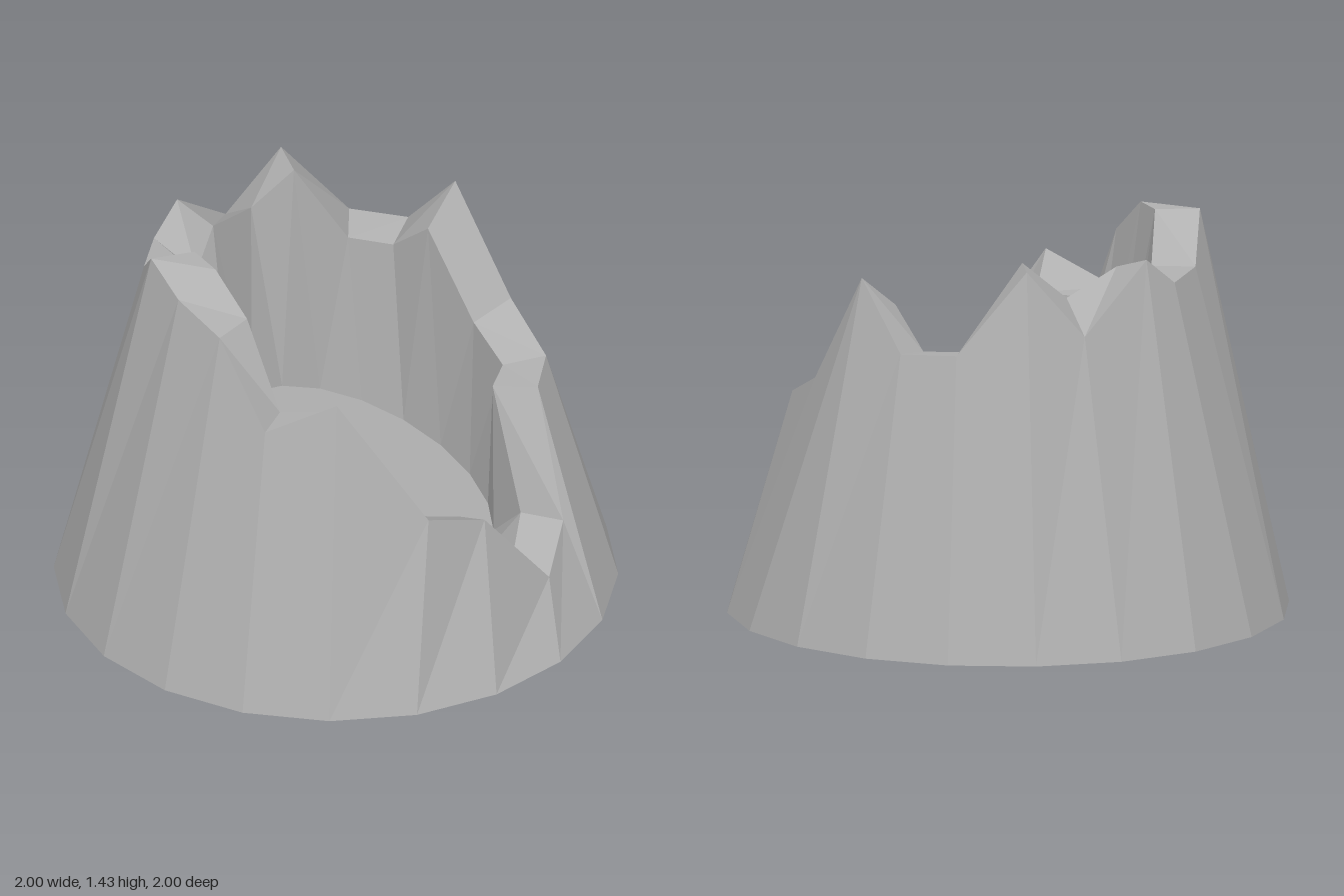
import * as THREE from 'three';

const N = 20;
const dirs = Array.from({ length: N }, (_, k) => {
  const a = (k / N) * Math.PI * 2;
  return [Math.sin(a), -Math.cos(a)];
});

// Jagged rim, clockwise from the back: x, z, outer height, inner height
const RIM = [
  [0.03, -0.72, 1.06, 1.04], [0.24, -0.685, 1.05, 1.03], [0.41, -0.55, 1.29, 1.17],
  [0.61, -0.41, 0.89, 0.845], [0.74, -0.19, 0.79, 0.78], [0.715, 0, 0.78, 0.78],
  [0.81, 0.205, 0.35, 0.35], [0.765, 0.43, 0.255, 0.29], [0.54, 0.585, 0.59, 0.52],
  [0.345, 0.735, 0.68, 0.6], [0.02, 0.72, 1.145, 1.02], [-0.235, 0.705, 1.02, 1.01],
  [-0.4, 0.525, 1.3, 1.3], [-0.55, 0.37, 1.36, 1.43], [-0.65, 0.21, 1.43, 1.43],
  [-0.68, 0, 1.265, 1.26], [-0.65, -0.21, 1.25, 1.14], [-0.57, -0.31, 1.35, 1.3],
  [-0.405, -0.58, 1.12, 1.23], [-0.21, -0.65, 1.36, 1.36],
];

// Closed strip of facets between two rings of points
function strip(lower, upper, material, name) {
  const p = [];
  for (let k = 0; k < N; k++) {
    const n = (k + 1) % N;
    p.push(...lower[n], ...lower[k], ...upper[k]);
    p.push(...lower[n], ...upper[k], ...upper[n]);
  }
  const g = new THREE.BufferGeometry();
  g.setAttribute('position', new THREE.Float32BufferAttribute(p, 3));
  g.computeVertexNormals();
  const mesh = new THREE.Mesh(g, material);
  mesh.name = name;
  return mesh;
}

export function createModel() {
  const group = new THREE.Group();
  group.name = 'crater';
  const rock = new THREE.MeshStandardMaterial({ color: 0xb0b0b0, flatShading: true });
  rock.name = 'grey rock';

  const underCentre = dirs.map(() => [0, 0, 0]);
  const base = dirs.map(([s, c]) => [s, 0, c]);
  const outerRim = RIM.map(([x, z, y]) => [x, y, z]);
  // Inner rim is the outer rim moved inwards by the wall thickness
  const inset = 0.16;
  const innerRim = RIM.map(([x, z, , y], k) => [x - inset * dirs[k][0], y, z - inset * dirs[k][1]]);
  // Round floor tilted down towards the breach
  const floorRing = dirs.map(([s, c]) => [0.08 + 0.478 * s, 0.38 - 0.205 * s, 0.525 * c]);
  const floorCentre = dirs.map(() => [0.08, 0.38, 0]);

  group.add(
    strip(underCentre, base, rock, 'underside'),
    strip(base, outerRim, rock, 'outerSlope'),
    strip(outerRim, innerRim, rock, 'brokenRim'),
    strip(innerRim, floorRing, rock, 'innerWall'),
    strip(floorRing, floorCentre, rock, 'craterFloor'),
  );
  return group;
}
